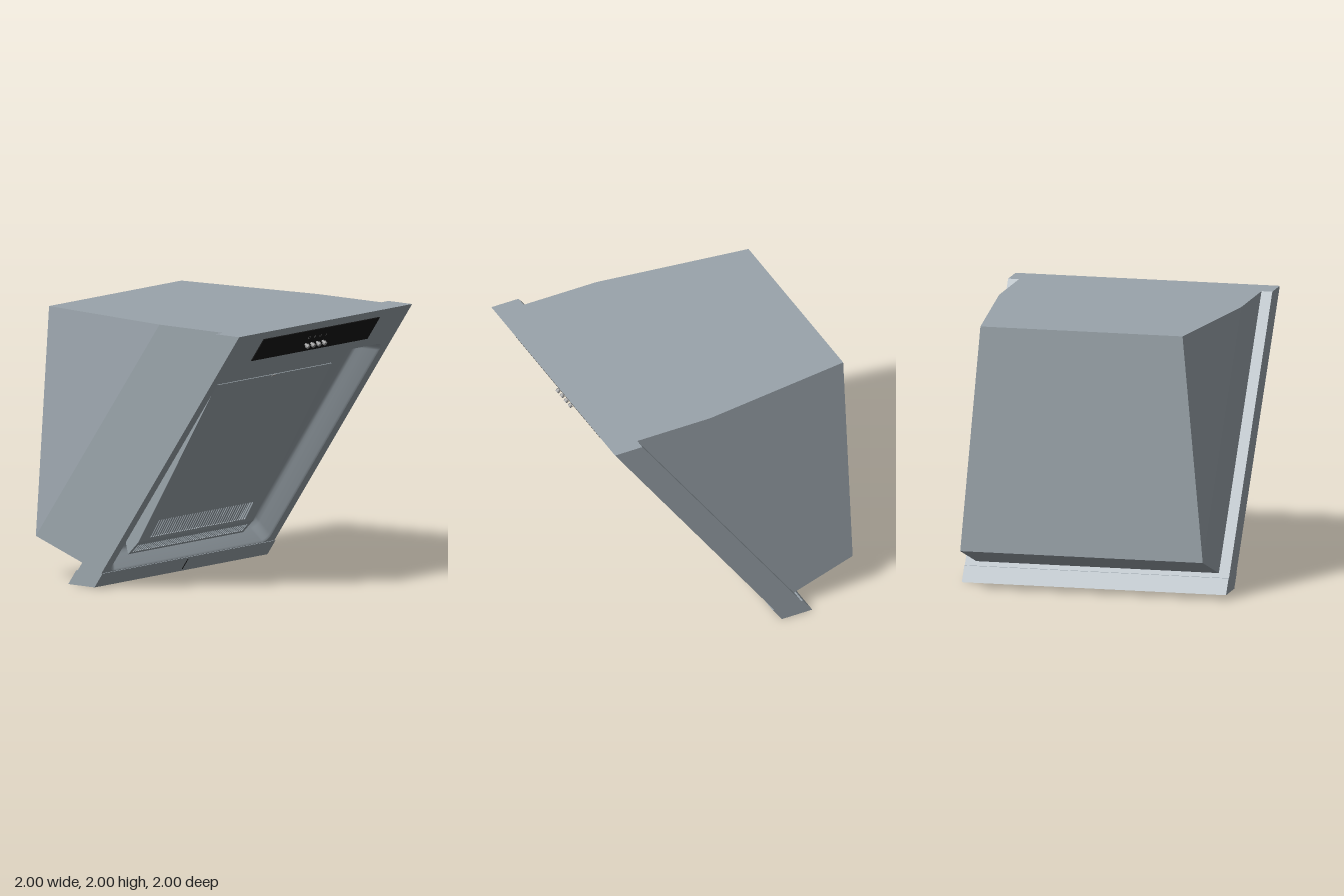
import * as THREE from 'three';
import { ConvexGeometry } from 'three/addons/geometries/ConvexGeometry.js';

const SLOPE = 1.31 / 1.89;          // z gained per unit of height on the slanted face
const TILT = Math.atan(SLOPE);
const FACE = Math.hypot(1.31, 1.89); // length of the slanted face

function mat(name, color, side = THREE.FrontSide) {
  const m = new THREE.MeshStandardMaterial({ color, side });
  m.name = name;
  return m;
}

function add(parent, name, geometry, material, x = 0, y = 0, z = 0) {
  const mesh = new THREE.Mesh(geometry, material);
  mesh.name = name;
  mesh.position.set(x, y, z);
  parent.add(mesh);
  return mesh;
}

const polygon = (points) => new THREE.Shape(points.map(([x, y]) => new THREE.Vector2(x, y)));

// Box between two heights, sheared to follow the slanted face
function slantedBox(y0, y1, zFrontAtZero, depth) {
  const g = new THREE.BoxGeometry(2, y1 - y0, depth).toNonIndexed();
  const p = g.attributes.position;
  for (let i = 0; i < p.count; i++) {
    const y = p.getY(i) + (y0 + y1) / 2;
    p.setXYZ(i, p.getX(i), y, p.getZ(i) + zFrontAtZero - depth / 2 + SLOPE * y);
  }
  g.computeVertexNormals();
  return g;
}

// Counter-clockwise rounded rectangle outline
function roundedRect(x0, x1, y0, y1, r, n = 6) {
  const pts = [];
  const corners = [[x1 - r, y0 + r], [x1 - r, y1 - r], [x0 + r, y1 - r], [x0 + r, y0 + r]];
  corners.forEach(([cx, cy], k) => {
    for (let i = 0; i <= n; i++) {
      const a = (k - 1 + i / n) * Math.PI / 2;
      pts.push(new THREE.Vector2(cx + r * Math.cos(a), cy + r * Math.sin(a)));
    }
  });
  return pts;
}

// Plate with a row of rounded slots cut through it
function slottedPlate(halfWidth, y0, y1, { count, span, bottom, top, width }) {
  const shape = polygon([[-halfWidth, y0], [halfWidth, y0], [halfWidth, y1], [-halfWidth, y1]]);
  for (let i = 0; i < count; i++) {
    const x = -span + (2 * span * i) / (count - 1);
    shape.holes.push(new THREE.Path(roundedRect(x - width / 2, x + width / 2, bottom, top, width * 0.49, 3)));
  }
  return new THREE.ExtrudeGeometry(shape, { depth: 0.006, bevelEnabled: false }).translate(0, 0, -0.006);
}

export function createModel() {
  const steel = mat('steel', 0x9aa4ab);
  const steelSheet = mat('steel sheet', 0x9aa4ab, THREE.DoubleSide);
  const black = mat('black glass', 0x161616);
  const silver = mat('button silver', 0x9a9a9a);

  const model = new THREE.Group();
  model.name = 'cookerHood';

  // Housing with its rear upper corners cut off
  const corners = [];
  for (const s of [-1, 1]) {
    for (const [x, y, z] of [[0.918, 2, 0.775], [0.918, 2, 0.175], [0.765, 2, -1], [0.918, 0.31, -1], [0.918, 0.14, -0.514]]) {
      corners.push(new THREE.Vector3(s * x, y, z));
    }
  }
  add(model, 'housing', new ConvexGeometry(corners), steel);

  // Frame slab without its front, which carries the opening
  const slab = slantedBox(0.11, 2, 1 - 2 * SLOPE, 0.225);
  const keep = [];
  for (let i = 0; i < 36; i++) if (i < 24 || i >= 30) keep.push(i);
  slab.setIndex(keep);
  add(model, 'frameSlab', slab, steel);
  add(model, 'lowerLip', slantedBox(0, 0.11, -0.375, 0.25), steel);

  // Everything on the slanted face: local y runs up the slope, z points out
  const face = new THREE.Group();
  face.name = 'slantedFace';
  face.position.set(0, 0.11, -0.31);
  face.rotation.x = TILT;
  model.add(face);

  // Front frame around a rounded opening
  const ring = (inset) => roundedRect(-0.92 + inset, 0.92 - inset, 0.004 + inset * 0.8, 1.934 - inset, 0.065);
  const frame = polygon([[-1, 0], [1, 0], [1, FACE], [-1, FACE]]);
  frame.holes.push(new THREE.Path(ring(0)));
  add(face, 'frontFrame', new THREE.ShapeGeometry(frame), steel);

  // Recess walls, curving into the floor
  const steps = [[0, 0], [0.012, -0.012], [0.065, -0.105], [0.078, -0.132], [0.096, -0.15], [0.12, -0.156]];
  const pos = [], index = [];
  const n = ring(0).length;
  steps.forEach(([inset, z], k) => {
    ring(inset).forEach((p, i) => {
      pos.push(p.x, p.y, z);
      if (k === 0) return;
      const a = (k - 1) * n + i, b = (k - 1) * n + (i + 1) % n;
      index.push(a, b, b + n, a, b + n, a + n);
    });
  });
  const walls = new THREE.BufferGeometry();
  walls.setAttribute('position', new THREE.Float32BufferAttribute(pos, 3));
  walls.setIndex(index);
  walls.computeVertexNormals();
  add(face, 'recessWalls', walls, steelSheet);
  add(face, 'recessFloor', new THREE.ShapeGeometry(new THREE.Shape(ring(0.12))), steel, 0, 0, -0.156);

  // Filter panel: a wedge, flush with the floor at the top and standing off at the bottom
  const filter = new THREE.Group();
  filter.name = 'filterPanel';
  face.add(filter);
  const top = [-0.148, 1.65], bend = [-0.05, 0.209], low = [-0.074, 0.07];
  const plateLength = Math.hypot(top[0] - bend[0], top[1] - bend[1]);
  const plate = add(filter, 'filterPlate', slottedPlate(0.665, 0, plateLength,
    { count: 40, span: 0.54, bottom: 0.025, top: 0.187, width: 0.019 }), steel, 0, bend[1], bend[0]);
  plate.rotation.x = Math.atan2(top[0] - bend[0], top[1] - bend[1]);
  const strip = add(filter, 'filterStrip', slottedPlate(0.665, -0.141, 0,
    { count: 48, span: 0.625, bottom: -0.122, top: -0.04, width: 0.017 }), steel, 0, bend[1], bend[0]);
  strip.rotation.x = Math.atan2(bend[0] - low[0], bend[1] - low[1]);

  // Wedge sides, drawn in depth and height and turned to face sideways
  const side = polygon([[-0.156, 0.14], low, bend, top, [-0.156, 1.65]]);
  const sideGeometry = new THREE.ExtrudeGeometry(side, { depth: 0.008, bevelEnabled: false }).rotateY(-Math.PI / 2);
  add(filter, 'filterSideLeft', sideGeometry, steel, 0.665);
  add(filter, 'filterSideRight', sideGeometry, steel, -0.657);
  add(filter, 'filterLatch', new THREE.BoxGeometry(0.045, 0.01, 0.006), silver, 0, 1.643, -0.146);

  // Control strip with four buttons and small marks above them
  add(face, 'controlStrip', new THREE.BoxGeometry(1.34, 0.208, 0.007), black, 0, 2.124, 0.0035);
  for (let i = 0; i < 4; i++) {
    const x = -0.1 + i * 0.066;
    const stem = add(face, 'buttonStem', new THREE.CylinderGeometry(0.01, 0.01, 0.024, 12), silver, x, 2.094, 0.018);
    const cap = add(face, 'buttonCap', new THREE.CylinderGeometry(0.016, 0.018, 0.02, 16), silver, x, 2.094, 0.034);
    stem.rotation.x = cap.rotation.x = Math.PI / 2;
    const mark = i === 0 ? new THREE.RingGeometry(0.009, 0.014, 16) : new THREE.PlaneGeometry(0.005, 0.036 - i * 0.004);
    add(face, 'buttonMark', mark, silver, x, 2.158, 0.0085);
    if (i === 1 || i === 2) add(face, 'buttonMark', new THREE.PlaneGeometry(0.024, 0.005), silver, x, 2.158, 0.0085);
  }

  // Dark tick in the middle of the lower lip
  const tick = add(model, 'lipMark', new THREE.BoxGeometry(0.01, 0.095, 0.003), black, 0, 0.055, -0.375 + 0.055 * SLOPE);
  tick.rotation.x = TILT;

  return model;
}
